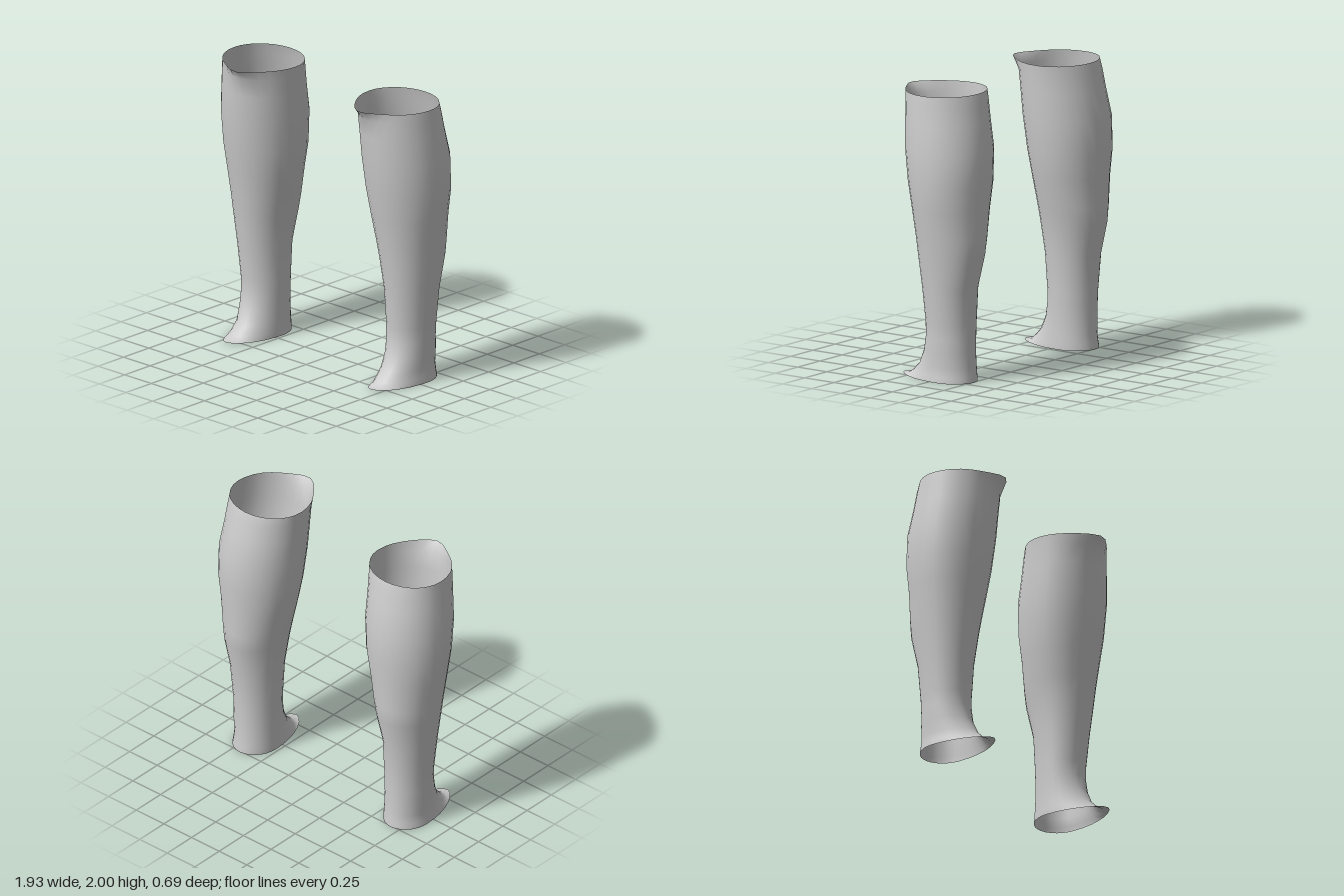
import * as THREE from 'three';

// Cross-sections from top to bottom: [y, inner x, outer x, front z, back z, z of widest point]
const SECTIONS = [
  [2.0, 0.345, 0.92, 0.285, -0.26, -0.01],
  [1.93, 0.35, 0.928, 0.28, -0.28, -0.01],
  [1.8, 0.355, 0.94, 0.275, -0.305, -0.02],
  [1.61, 0.36, 0.963, 0.263, -0.345, -0.04],
  [1.38, 0.378, 0.963, 0.235, -0.345, -0.06],
  [1.2, 0.41, 0.94, 0.205, -0.33, -0.06],
  [1.0, 0.45, 0.915, 0.175, -0.325, -0.07],
  [0.88, 0.475, 0.9, 0.16, -0.318, -0.07],
  [0.65, 0.51, 0.872, 0.13, -0.265, -0.07],
  [0.4, 0.52, 0.847, 0.108, -0.25, -0.07],
  [0.3, 0.523, 0.842, 0.11, -0.247, -0.07],
  [0.2, 0.525, 0.842, 0.128, -0.247, -0.07],
  [0.1, 0.523, 0.833, 0.175, -0.25, -0.07],
  [0.04, 0.52, 0.84, 0.235, -0.256, -0.07],
  [0.012, 0.52, 0.845, 0.275, -0.26, -0.07],
  [0.0, 0.52, 0.845, 0.29, -0.26, -0.07],
];
const SIDES = 28;

// Open tube lofted through the sections, with a knee lip and a thin toe flap
function legGeometry() {
  const positions = [];
  const indices = [];
  SECTIONS.forEach(([y, x0, x1, front, back, mid], row) => {
    for (let i = 0; i < SIDES; i++) {
      const a = (i / SIDES) * Math.PI * 2;
      const c = Math.cos(a);
      const s = Math.sin(a);
      const x = (x0 + x1) / 2 + ((x1 - x0) / 2) * c;
      let z = mid + s * (s > 0 ? front - mid : mid - back);
      let h = y;
      // Lip at the inner front of the top rim
      const lip = Math.exp(-(((x - 0.57) / 0.12) ** 2));
      if (s > 0 && row === 0) z += 0.065 * lip;
      if (s > 0 && row === 1) z += 0.01 * lip;
      // Toe flap lying almost flat at the bottom rim
      if (s > 0 && row === SECTIONS.length - 1) {
        const flap = s ** 6;
        z += 0.035 * flap;
        h += 0.01 * flap;
      }
      positions.push(x, h, z);
    }
  });
  for (let row = 0; row < SECTIONS.length - 1; row++) {
    for (let i = 0; i < SIDES; i++) {
      const j = (i + 1) % SIDES;
      const a = row * SIDES + i;
      const b = row * SIDES + j;
      indices.push(a, b, b + SIDES, a, b + SIDES, a + SIDES);
    }
  }
  const geometry = new THREE.BufferGeometry();
  geometry.setAttribute('position', new THREE.Float32BufferAttribute(positions, 3));
  // Wind the faces outwards
  for (let k = 0; k < indices.length; k += 3) {
    [indices[k + 1], indices[k + 2]] = [indices[k + 2], indices[k + 1]];
  }
  geometry.setIndex(indices);
  // Mirror-safe smooth normals
  geometry.computeVertexNormals();
  const p = geometry.attributes.position;
  const n = geometry.attributes.normal;
  const probe = SIDES * 6;
  if (n.getX(probe) * (p.getX(probe) - 0.65) < 0) {
    for (let k = 0; k < indices.length; k += 3) {
      [indices[k + 1], indices[k + 2]] = [indices[k + 2], indices[k + 1]];
    }
    geometry.setIndex(indices);
    geometry.computeVertexNormals();
  }
  return geometry;
}

export function createModel() {
  const model = new THREE.Group();
  model.name = 'legCovers';
  const grey = new THREE.MeshStandardMaterial({ color: 0xcccccc, side: THREE.DoubleSide });
  grey.name = 'lightGrey';
  const geometry = legGeometry();
  for (const side of [1, -1]) {
    const leg = new THREE.Mesh(geometry, grey);
    leg.name = side > 0 ? 'leftLegCover' : 'rightLegCover';
    leg.scale.x = side;
    model.add(leg);
  }
  return model;
}
